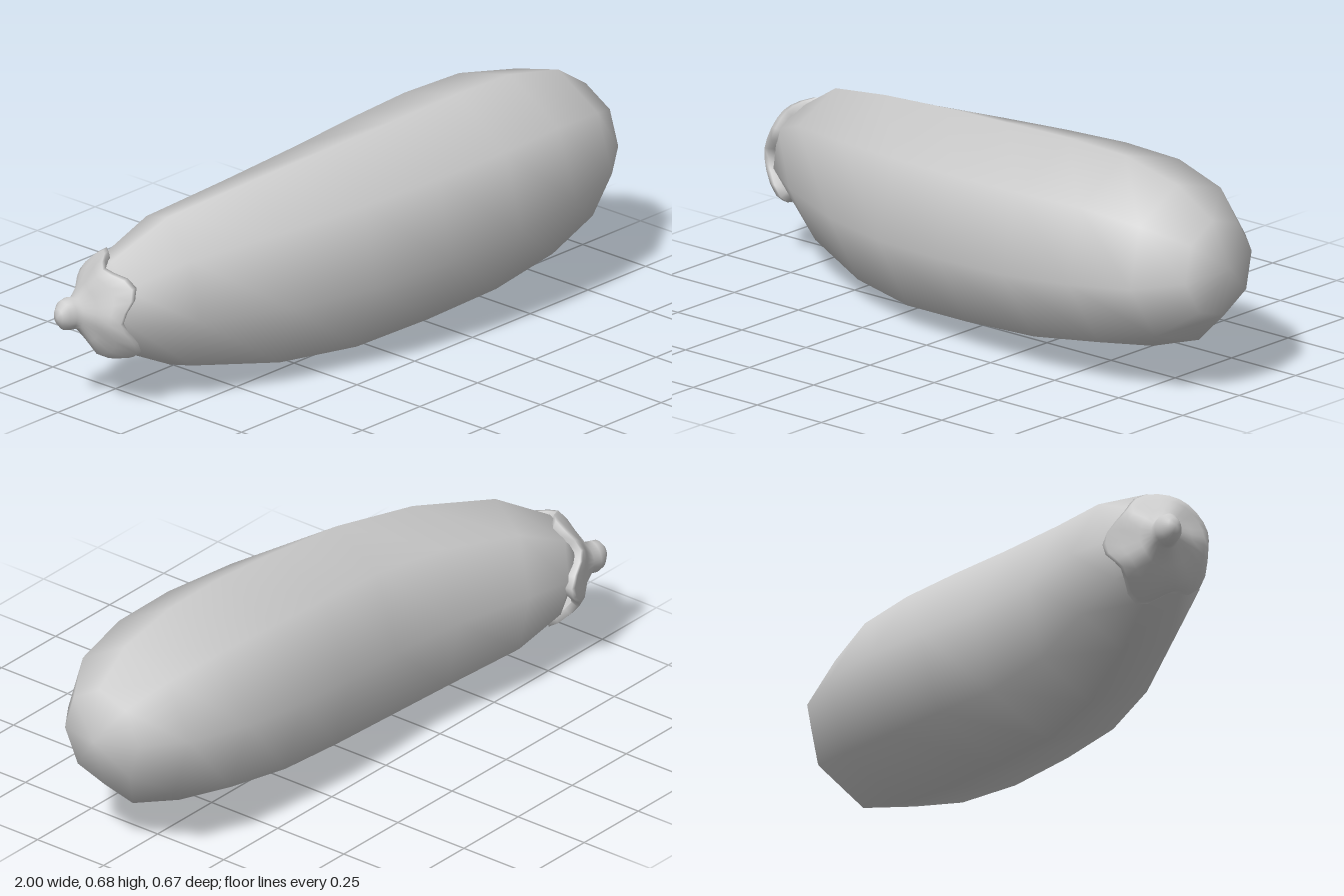
import * as THREE from 'three';
import { mergeVertices } from 'three/addons/utils/BufferGeometryUtils.js';

// Skin a row of tilted elliptical rings running towards +x.
// Ring: [topX, topY, bottomX, bottomY, backX, backZ, frontX, frontZ, lobe]
function loft(rings, sides, phase) {
  const pos = [], index = [];
  const grow = sides < 12 ? 1 / Math.cos(phase) : 1;
  for (const [tx, ty, bx, by, kx, kz, fx, fz, lobe = 0] of rings) {
    const cx = (tx + bx + kx + fx) / 4;
    for (let j = 0; j < sides; j++) {
      const a = phase + (j / sides) * Math.PI * 2;
      // lobes slide the ring along the fruit and spread it to match the taper
      const shift = lobe * Math.cos(5 * (a - Math.PI));
      const s = grow * (1 + shift * 3);
      const c = Math.cos(a) * s / 2, v = Math.sin(a) * s / 2;
      pos.push(
        cx + c * (fx - kx) + v * (tx - bx) + shift * 0.91,
        (ty + by) / 2 + v * (ty - by),
        (kz + fz) / 2 + c * (fz - kz) + shift * 0.42
      );
    }
  }
  for (let i = 0; i < rings.length - 1; i++) {
    for (let j = 0; j < sides; j++) {
      const a = i * sides + j, b = i * sides + (j + 1) % sides;
      index.push(a, a + sides, b, b, a + sides, b + sides);
    }
  }
  let geo = new THREE.BufferGeometry();
  geo.setAttribute('position', new THREE.Float32BufferAttribute(pos, 3));
  geo.setIndex(index);
  geo = mergeVertices(geo, 1e-5); // welds the poles
  geo.computeVertexNormals();
  return geo;
}

// A ring shrunk to a single point
const pole = (x, y, z) => [x, y, x, y, x, z, x, z];

export function createModel() {
  const group = new THREE.Group();
  const material = new THREE.MeshStandardMaterial({ color: 0xcccccc, side: THREE.DoubleSide });

  const add = (name, geometry) => {
    const mesh = new THREE.Mesh(geometry, material);
    mesh.name = name;
    group.add(mesh);
  };

  // Curved eight-sided fruit, fat at the +x end
  add('fruitBody', loft([
    pole(-0.90, 0.30, -0.22),
    [-0.89, 0.38, -0.86, 0.22, -0.84, -0.28, -0.91, -0.13],
    [-0.85, 0.455, -0.80, 0.145, -0.75, -0.32, -0.87, -0.065],
    [-0.66, 0.56, -0.62, 0.065, -0.58, -0.32, -0.72, 0.05],
    [-0.39, 0.62, -0.36, 0.015, -0.31, -0.275, -0.45, 0.175],
    [-0.10, 0.655, -0.10, 0.003, -0.04, -0.265, -0.19, 0.26],
    [0.15, 0.67, 0.15, 0.02, 0.20, -0.28, 0.09, 0.31],
    [0.39, 0.68, 0.41, 0.04, 0.43, -0.285, 0.37, 0.335],
    [0.62, 0.675, 0.66, 0.08, 0.65, -0.265, 0.61, 0.325],
    [0.82, 0.63, 0.85, 0.145, 0.85, -0.20, 0.82, 0.28],
    [0.95, 0.545, 0.965, 0.25, 0.96, -0.10, 0.95, 0.185],
    pole(1.0, 0.40, 0.04),
  ], 8, -7 * Math.PI / 180));

  // Knobbed stem flaring into a five-lobed cap
  add('stemAndCalyx', loft([
    pole(-1.0, 0.30, -0.255),
    [-0.993, 0.325, -0.993, 0.275, -0.988, -0.277, -0.995, -0.235],
    [-0.975, 0.345, -0.975, 0.255, -0.968, -0.29, -0.978, -0.22],
    [-0.95, 0.35, -0.95, 0.25, -0.945, -0.293, -0.957, -0.213],
    [-0.93, 0.348, -0.93, 0.252, -0.92, -0.287, -0.945, -0.20],
    [-0.915, 0.39, -0.91, 0.21, -0.875, -0.297, -0.935, -0.15, 0.004],
    [-0.89, 0.435, -0.88, 0.165, -0.83, -0.325, -0.925, -0.095, 0.012],
    [-0.865, 0.465, -0.835, 0.14, -0.79, -0.338, -0.898, -0.055, 0.024],
    [-0.852, 0.468, -0.82, 0.138, -0.775, -0.338, -0.88, -0.055, 0.026],
    [-0.845, 0.445, -0.815, 0.16, -0.77, -0.315, -0.87, -0.08, 0.024],
  ], 30, 0));

  return group;
}
